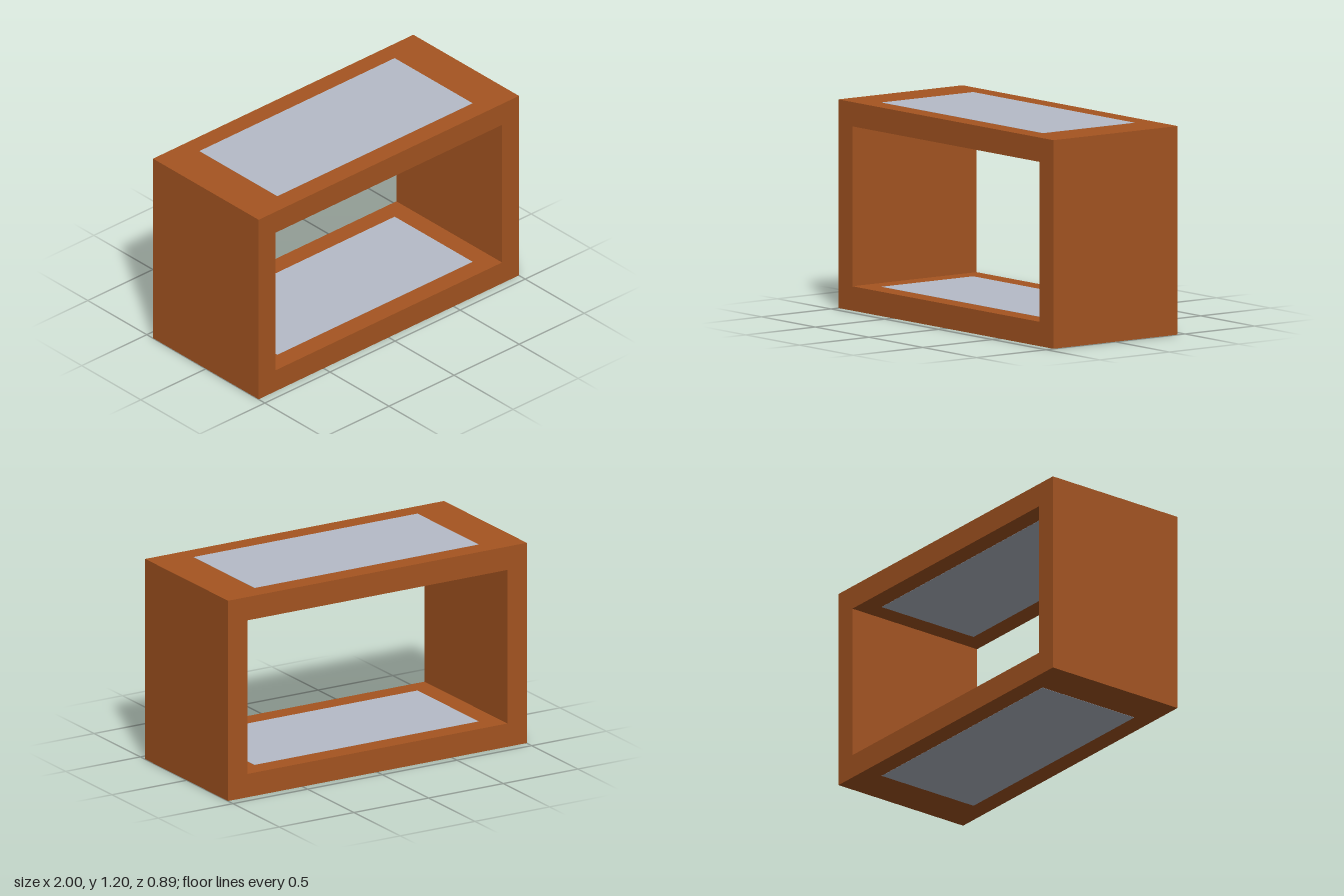
import * as THREE from 'three';

const WIDTH = 2, HEIGHT = 1.2, DEPTH = 0.895;
const SIDE = 0.13, SLAB = 0.14;

// Traces a rectangle from its lower left to its upper right corner
function rectangle(path, x0, y0, x1, y1) {
  path.moveTo(x0, y0);
  path.lineTo(x1, y0);
  path.lineTo(x1, y1);
  path.lineTo(x0, y1);
  path.closePath();
  return path;
}

export function createModel() {
  const model = new THREE.Group();
  model.name = 'openTable';
  const wood = new THREE.MeshStandardMaterial({ color: 0xa65521 });
  const glass = new THREE.MeshStandardMaterial({ color: 0xb6bcc9 });

  // Rectangular tube, open at front and back
  const outline = rectangle(new THREE.Shape(), -WIDTH / 2, 0, WIDTH / 2, HEIGHT);
  outline.holes.push(rectangle(new THREE.Path(),
    -WIDTH / 2 + SIDE, SLAB, WIDTH / 2 - SIDE, HEIGHT - SLAB));
  const frameGeometry = new THREE.ExtrudeGeometry(outline, { depth: DEPTH, bevelEnabled: false });
  frameGeometry.translate(0, 0, -DEPTH / 2);
  const frame = new THREE.Mesh(frameGeometry, wood);
  frame.name = 'frame';
  model.add(frame);

  // Panels set through the top and bottom slabs, a hair proud on both faces
  const panelGeometry = new THREE.BoxGeometry(1.5, SLAB + 0.002, 0.66);
  for (const [name, y] of [['topPanel', HEIGHT - SLAB / 2], ['bottomPanel', SLAB / 2]]) {
    const panel = new THREE.Mesh(panelGeometry, glass);
    panel.name = name;
    panel.position.y = y;
    model.add(panel);
  }

  return model;
}
